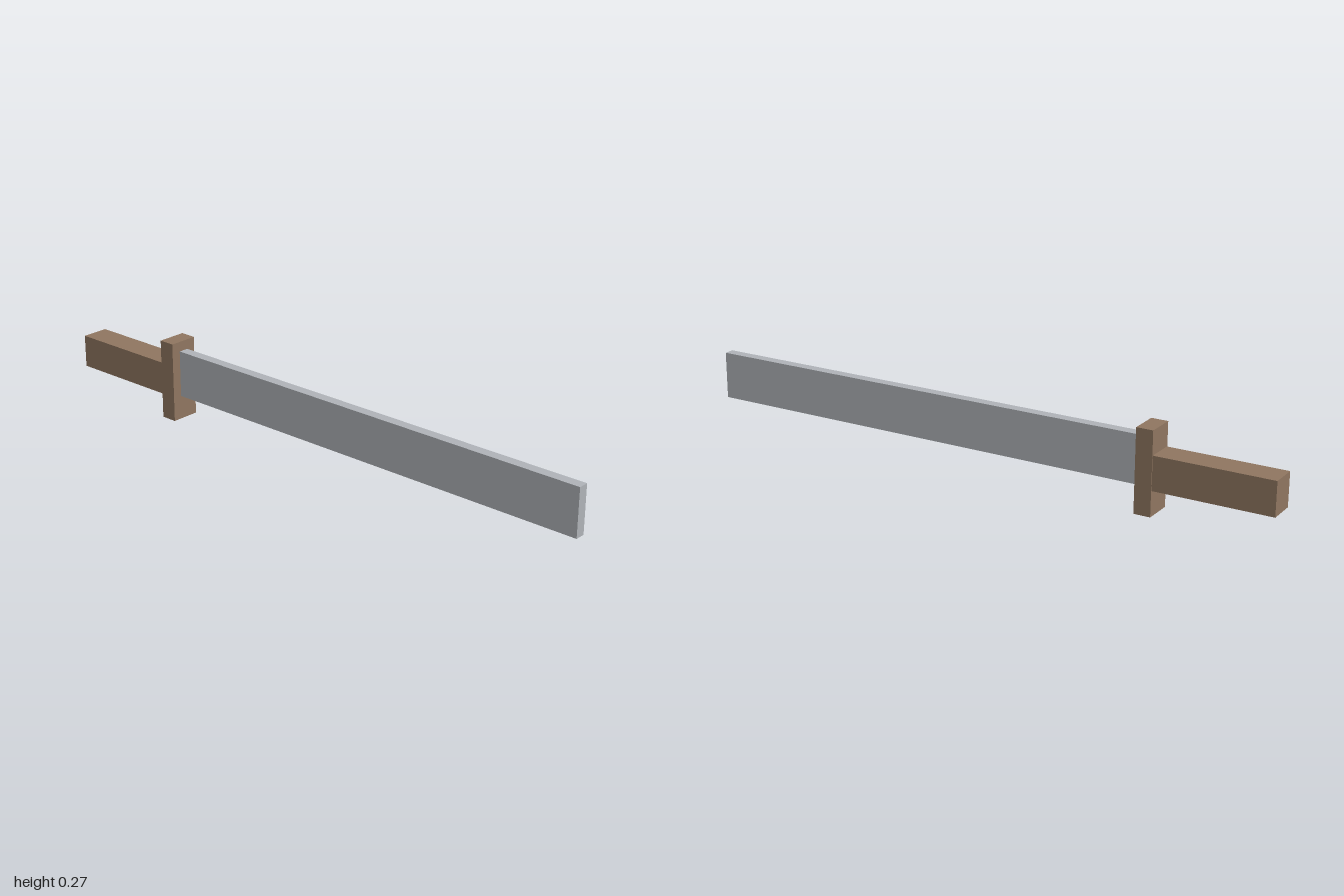
import * as THREE from 'three';

export function createModel() {
  const model = new THREE.Group();
  const wood = new THREE.MeshStandardMaterial({ color: 0x8f7660 });
  wood.name = 'brown wood';
  const steel = new THREE.MeshStandardMaterial({ color: 0xafb3b8 });
  steel.name = 'grey steel';

  // Box centred on x, spanning the given y and z ranges
  function addBox(name, material, width, [y0, y1], [z0, z1]) {
    const mesh = new THREE.Mesh(new THREE.BoxGeometry(width, y1 - y0, z1 - z0), material);
    mesh.position.set(0, (y0 + y1) / 2, (z0 + z1) / 2);
    mesh.name = name;
    model.add(mesh);
  }

  addBox('blade', steel, 0.034, [0.08, 0.237], [-0.56, 1]);
  addBox('guard', wood, 0.098, [0, 0.27], [-0.615, -0.56]);
  addBox('handle', wood, 0.092, [0.082, 0.192], [-1, -0.615]);

  return model;
}
